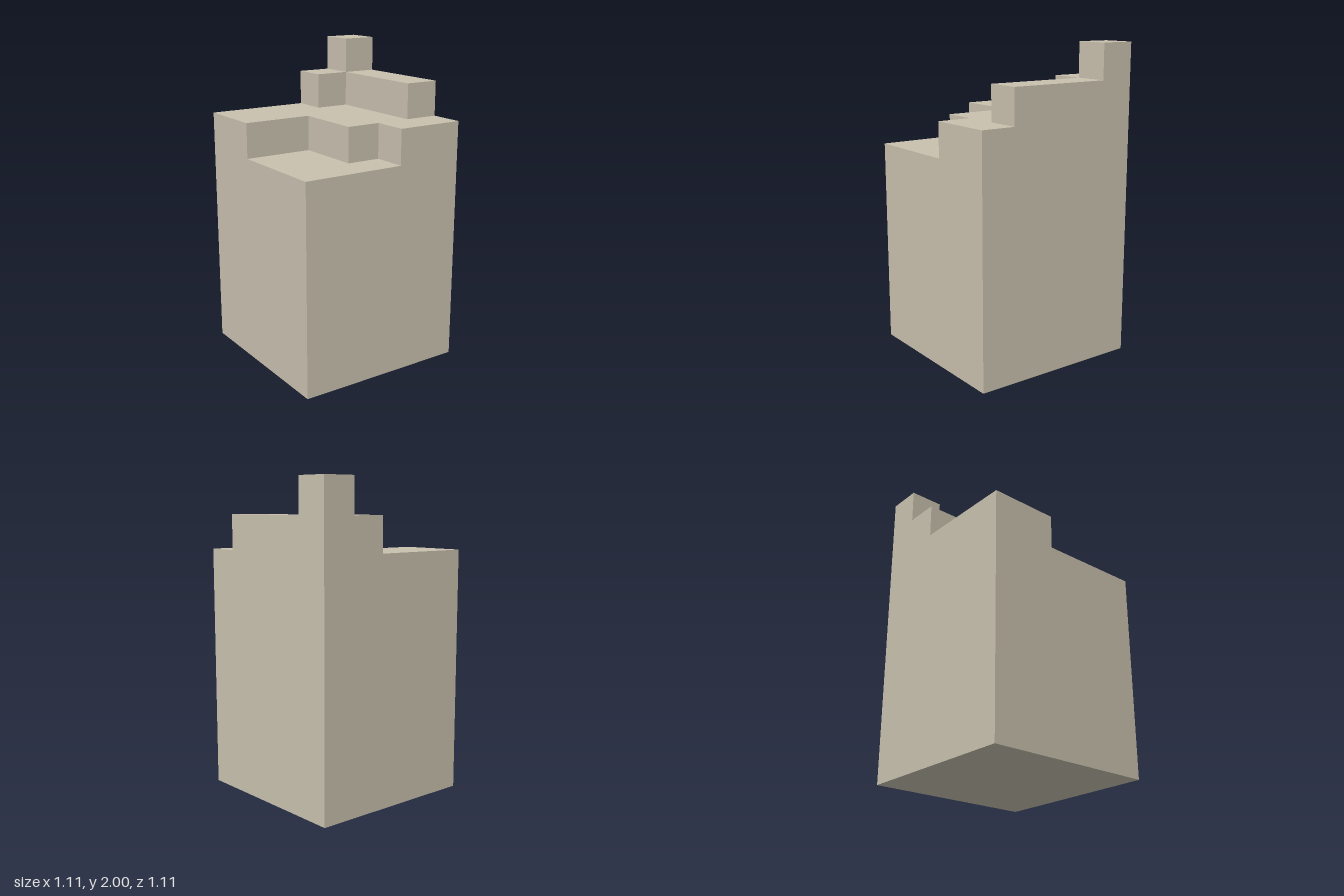
import * as THREE from 'three';

const CELL = 2 / 9; // the model sits on a 5 x 5 plan, 9 cells high

const stone = new THREE.MeshStandardMaterial({ color: 0xc9c1af });
stone.name = 'stone';

// Upright slab from a plan outline of [x, z] cells, between two cell heights
function slab(name, outline, from, to) {
  const shape = new THREE.Shape(outline.map(([x, z]) => new THREE.Vector2(x * CELL, -z * CELL)));
  const geometry = new THREE.ExtrudeGeometry(shape, { depth: (to - from) * CELL, bevelEnabled: false });
  geometry.rotateX(-Math.PI / 2);
  geometry.translate(0, from * CELL, 0);
  const mesh = new THREE.Mesh(geometry, stone);
  mesh.name = name;
  return mesh;
}

export function createModel() {
  const group = new THREE.Group();
  group.name = 'steppedBlock';
  group.add(
    // Solid lower block
    slab('base', [[-2.5, -2.5], [2.5, -2.5], [2.5, 2.5], [-2.5, 2.5]], 0, 6),
    // Main terrace, with its front corner notched away in steps
    slab('terrace', [[-2.5, -2.5], [2.5, -2.5], [2.5, 2.5], [0.5, 2.5], [0.5, 1.5],
      [-0.5, 1.5], [-0.5, -0.5], [-2.5, -0.5]], 6, 7),
    // L-shaped ridge along the left and back edges
    slab('ridge', [[0.5, -2.5], [2.5, -2.5], [2.5, 1.5], [1.5, 1.5], [1.5, -1.5], [0.5, -1.5]], 7, 8),
    // Highest corner
    slab('peak', [[1.5, -2.5], [2.5, -2.5], [2.5, -1.5], [1.5, -1.5]], 8, 9),
  );
  return group;
}
